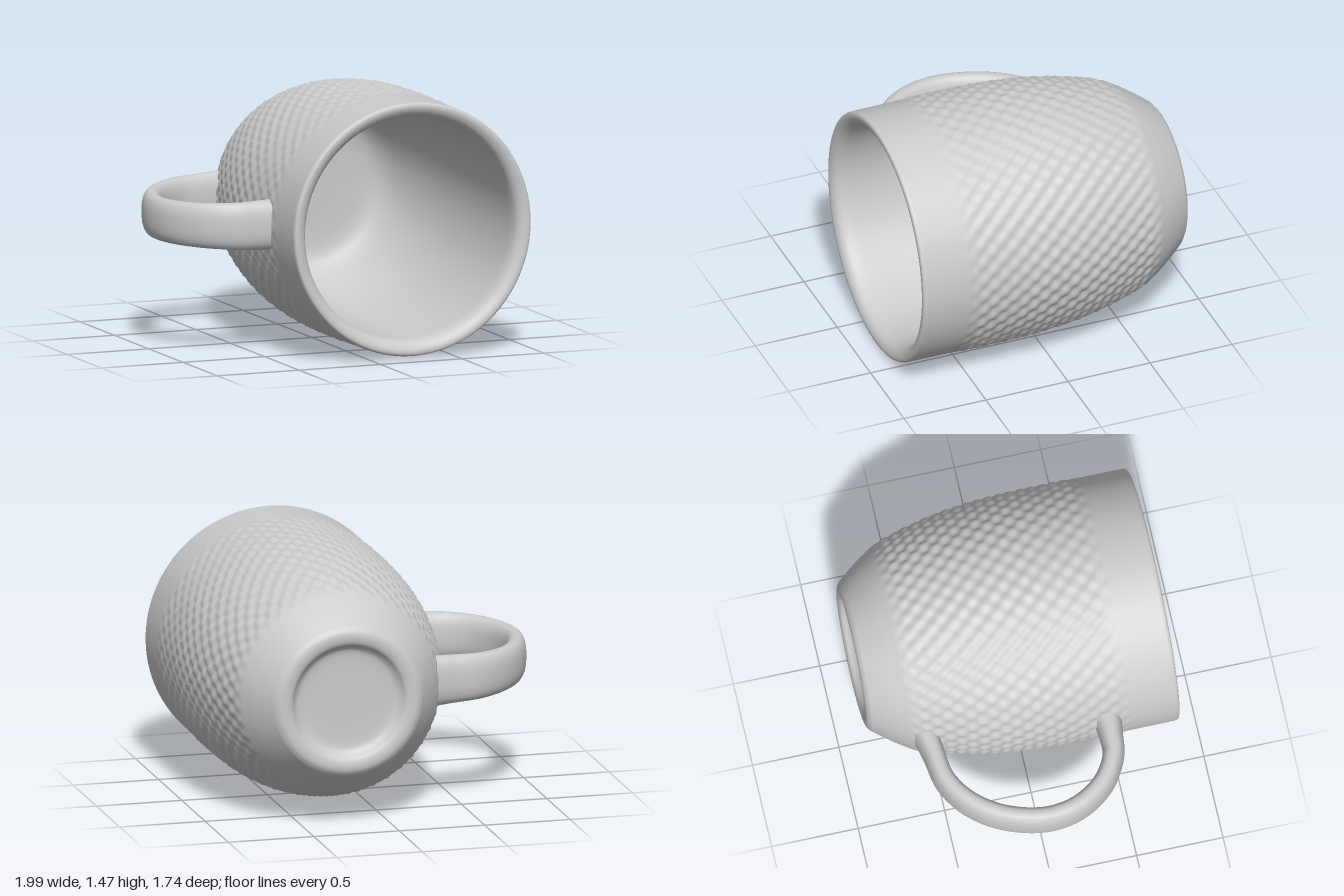
import * as THREE from 'three';
import { mergeVertices } from 'three/addons/utils/BufferGeometryUtils.js';

const material = new THREE.MeshStandardMaterial({ color: 0xcccccc });
const AXIS_X = 0.255, AXIS_Y = 0.742;

// Smooth 2D curve through [a, b] pairs
const spline = (pts, n) =>
  new THREE.SplineCurve(pts.map(p => new THREE.Vector2(...p))).getPoints(n);

// Weld seams and give smooth normals
function smooth(geometry) {
  geometry.deleteAttribute('uv');
  geometry.deleteAttribute('normal');
  const welded = mergeVertices(geometry, 1e-5);
  welded.computeVertexNormals();
  return welded;
}

// Cup: one closed lathe profile [radius, position along the axis], with a dimpled outer wall
function makeCup() {
  const base = spline([[0, -0.81], [0.15, -0.81], [0.27, -0.815], [0.31, -0.835],
    [0.335, -0.862], [0.37, -0.872], [0.405, -0.868], [0.432, -0.85]], 28);
  const wall = spline([[0.432, -0.85], [0.487, -0.78], [0.55, -0.69], [0.598, -0.6],
    [0.655, -0.4], [0.695, -0.2], [0.716, 0], [0.725, 0.2], [0.727, 0.5], [0.727, 0.7], [0.726, 0.85]], 130);
  const rim = spline([[0.726, 0.85], [0.72, 0.865], [0.705, 0.87], [0.685, 0.866],
    [0.66, 0.85], [0.643, 0.82], [0.636, 0.77]], 18);
  const inside = spline([[0.636, 0.77], [0.638, 0.5], [0.636, 0.2], [0.622, -0.1], [0.59, -0.35],
    [0.54, -0.54], [0.48, -0.66], [0.4, -0.715], [0.25, -0.73], [0, -0.73]], 40);
  const profile = [...base, ...wall.slice(1), ...rim.slice(1), ...inside.slice(1)];
  profile[0].x = profile[profile.length - 1].x = 0;
  const geometry = new THREE.LatheGeometry(profile, 252);

  // Staggered hammered dimples, fading out towards the foot and the rim
  const pos = geometry.attributes.position;
  const first = base.length, last = base.length + wall.length - 2;
  for (let i = 0; i < pos.count; i++) {
    const row = i % profile.length;
    if (row < first || row > last) continue;
    const x = pos.getX(i), y = pos.getY(i), z = pos.getZ(i);
    const fade = THREE.MathUtils.smoothstep(y, -0.68, -0.54) * (1 - THREE.MathUtils.smoothstep(y, 0.46, 0.62));
    const bump = Math.cos(42 * Math.atan2(x, z)) * Math.cos(y * Math.PI * 2 / 0.125);
    const s = 1 + 0.009 * fade * bump / Math.hypot(x, z);
    pos.setXYZ(i, x * s, y, z * s);
  }
  const mesh = new THREE.Mesh(smooth(geometry), material);
  mesh.name = 'cup';
  mesh.rotation.x = Math.PI / 2;
  mesh.position.set(AXIS_X, AXIS_Y, 0);
  return mesh;
}

// Handle: rounded strap section swept along a loop in the horizontal plane
function makeHandle() {
  const path = new THREE.SplineCurve([[-0.31, -0.565], [-0.42, -0.547], [-0.6, -0.515], [-0.76, -0.41],
    [-0.88, -0.24], [-0.942, -0.02], [-0.915, 0.18], [-0.81, 0.345], [-0.66, 0.44], [-0.53, 0.457],
    [-0.41, 0.457]].map(p => new THREE.Vector2(...p)));
  const rings = 80, sides = 32;
  const positions = [], index = [];
  for (let i = 0; i <= rings; i++) {
    const t = i / rings;
    const p = path.getPointAt(t), d = path.getTangentAt(t);
    const flare = Math.exp(-t * 18) * 0.015 + Math.exp(-(1 - t) * 16) * 0.028;
    const halfThick = 0.058 + flare;
    const halfWide = 0.122 + 0.024 * Math.pow(Math.abs(2 * t - 1), 2);
    for (let j = 0; j < sides; j++) {
      const a = j / sides * Math.PI * 2;
      const c = Math.cos(a), s = Math.sin(a);
      const u = Math.sign(c) * Math.pow(Math.abs(c), 0.8) * halfThick;
      const v = Math.sign(s) * Math.pow(Math.abs(s), 0.8) * halfWide;
      positions.push(p.x - d.y * u, 0.755 + v, p.y + d.x * u);
      if (i < rings) {
        const k = (j + 1) % sides, q = i * sides;
        index.push(q + j, q + k, q + sides + j, q + k, q + sides + k, q + sides + j);
      }
    }
  }
  const geometry = new THREE.BufferGeometry();
  geometry.setAttribute('position', new THREE.Float32BufferAttribute(positions, 3));
  geometry.setIndex(index);
  geometry.computeVertexNormals();
  // Make sure the surface faces outwards: the first ring's first point lies along +u
  const n = geometry.attributes.normal, mid = (rings / 2) * sides, t = path.getTangentAt(0.5);
  if (n.getX(mid) * -t.y + n.getZ(mid) * t.x < 0) {
    geometry.setIndex(index.reverse());
    geometry.computeVertexNormals();
  }
  const mesh = new THREE.Mesh(geometry, material);
  mesh.name = 'handle';
  return mesh;
}

export function createModel() {
  const group = new THREE.Group();
  group.name = 'mug';
  group.add(makeCup(), makeHandle());
  return group;
}
